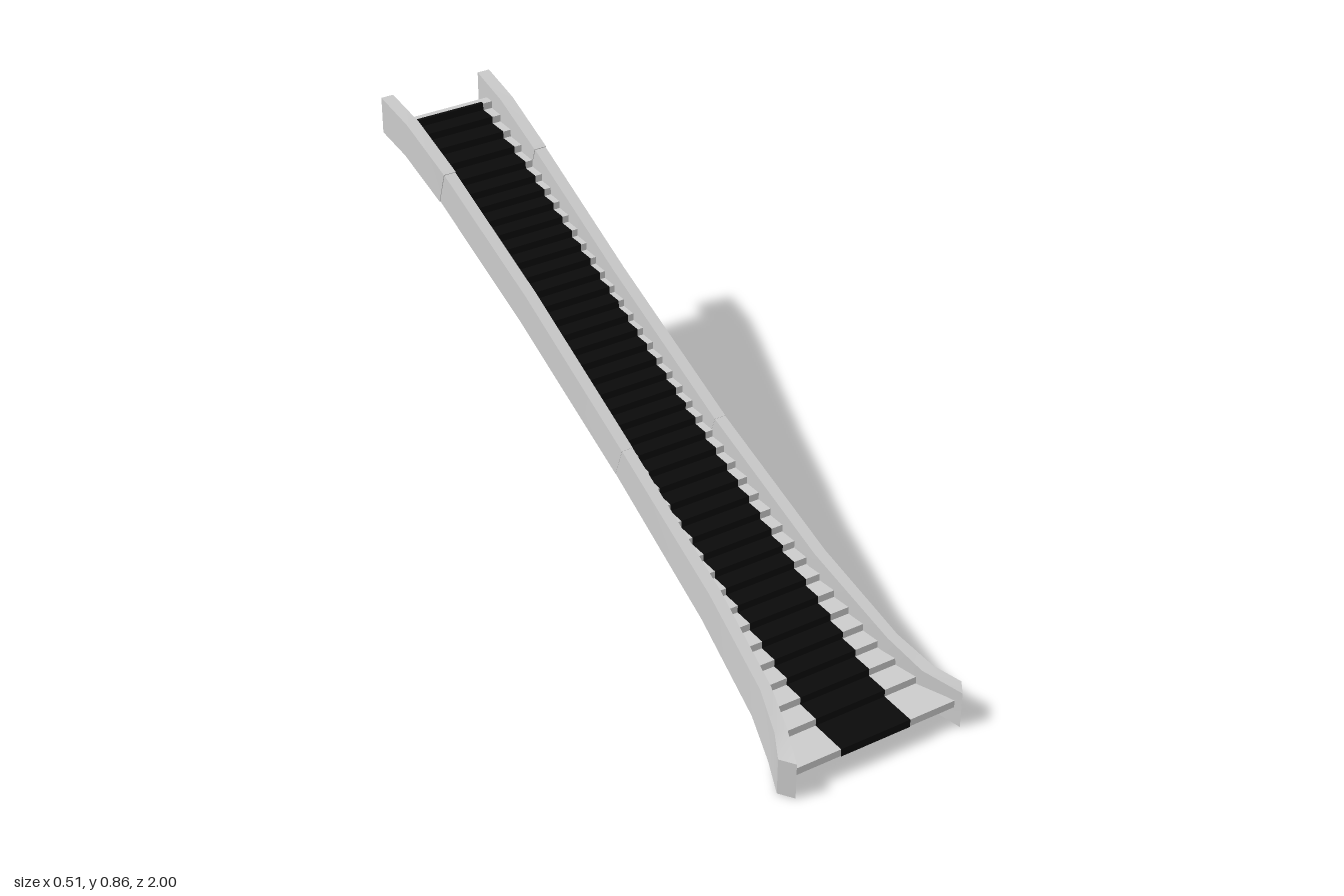
import * as THREE from 'three';
import { toCreasedNormals } from 'three/addons/utils/BufferGeometryUtils.js';

// Side wall stations: top z, top y, bottom z, bottom y, outer x, inner x
const STATIONS = [
  [0.98, 0.10, 0.98, 0.003, 0.253, 0.228],
  [0.90, 0.117, 0.88, 0.02, 0.22, 0.187],
  [0.80, 0.155, 0.77, 0.06, 0.19, 0.162],
  [0.55, 0.25, 0.52, 0.16, 0.162, 0.132],
  [0.15, 0.41, 0.12, 0.33, 0.146, 0.117],
  [-0.30, 0.605, -0.33, 0.52, 0.14, 0.111],
  [-0.69, 0.77, -0.72, 0.685, 0.147, 0.117],
  [-0.87, 0.835, -0.89, 0.745, 0.153, 0.122],
  [-1.00, 0.86, -1.00, 0.765, 0.157, 0.127],
];
// Line through the step nosings: z, y
const NOSING = [[0.98, 0.07], [0.89, 0.087], [0.8, 0.115], [0.55, 0.21], [0.15, 0.37],
  [-0.3, 0.565], [-0.69, 0.73], [-0.87, 0.79], [-0.95, 0.822]];
const STEPS = 40, RISE = 0.019, FIRST = 0.07, BACK = -0.95, CARPET = 0.095;

// Piecewise linear lookup in a table of [key, value] rows
function lookup(rows, k) {
  const up = rows[rows.length - 1][0] > rows[0][0];
  let i = 0;
  while (i < rows.length - 2 && (up ? k > rows[i + 1][0] : k < rows[i + 1][0])) i++;
  const [a, b] = [rows[i], rows[i + 1]];
  const t = THREE.MathUtils.clamp((k - a[0]) / (b[0] - a[0]), 0, 1);
  return a[1] + (b[1] - a[1]) * t;
}

// Solid through four-cornered rings running from front to back
function loft(rings, mirror = false) {
  const pos = [];
  const tri = (a, b, c) => {
    for (const p of mirror ? [a, c, b] : [a, b, c]) pos.push(mirror ? -p[0] : p[0], p[1], p[2]);
  };
  const quad = (a, b, c, d) => { tri(a, b, c); tri(a, c, d); };
  quad(...rings[0]);
  for (let i = 0; i < rings.length - 1; i++) {
    const a = rings[i], b = rings[i + 1];
    for (let j = 0; j < 4; j++) {
      const k = (j + 1) % 4;
      quad(a[j], b[j], b[k], a[k]);
    }
  }
  quad(...[...rings[rings.length - 1]].reverse());
  const g = new THREE.BufferGeometry();
  g.setAttribute('position', new THREE.Float32BufferAttribute(pos, 3));
  g.computeVertexNormals();
  return toCreasedNormals(g, 0.5);
}

export function createModel() {
  const model = new THREE.Group();
  model.name = 'staircase';
  const stone = new THREE.MeshStandardMaterial({ color: 0xcccccc });
  const black = new THREE.MeshStandardMaterial({ color: 0x0a0a0a });
  const add = (parent, name, geo, mat) => {
    const m = new THREE.Mesh(geo, mat);
    m.name = name;
    parent.add(m);
    return m;
  };

  // Flared side walls, each in three jointed lengths
  const ring = ([zt, yt, zb, yb, xo, xi], i, grow) => {
    const skew = i === 0 ? 0.018 : 0; // splayed front end
    return [[xo + grow, yt + grow, zt - skew], [xi - grow, yt + grow, zt + skew],
      [xi - grow, yb - grow, zb + skew], [xo + grow, yb - grow, zb - skew]];
  };
  const lengths = [['lower', 0, 4, 0], ['middle', 4, 6, 0.0005], ['upper', 6, 8, 0.002]];
  for (const mirror of [false, true]) {
    const wall = new THREE.Group();
    wall.name = mirror ? 'rightWall' : 'leftWall';
    for (const [name, from, to, grow] of lengths) {
      const rings = STATIONS.slice(from, to + 1).map((s, i) => ring(s, from + i, grow));
      add(wall, name + 'WallSection', loft(rings, mirror), stone);
    }
    model.add(wall);
  }

  // Steps tapered to meet the walls, with a carpet over treads and risers
  const steps = new THREE.Group(), carpet = new THREE.Group();
  steps.name = 'steps';
  carpet.name = 'carpet';
  const byHeight = NOSING.map(([z, y]) => [y, z]);
  const inner = STATIONS.map((s) => [s[0], s[5]]);
  const section = (z, y) => {
    const w = lookup(inner, z) + 0.004;
    return [[w, y, z], [-w, y, z], [-w, y - RISE, z], [w, y - RISE, z]];
  };
  for (let i = 0; i < STEPS; i++) {
    const y = FIRST + i * RISE, last = i === STEPS - 1;
    const front = lookup(byHeight, y);
    const back = last ? BACK : lookup(byHeight, y + RISE);
    add(steps, 'step', loft([section(front, y), section(back, y)]), stone);

    const riser = add(carpet, 'carpetRiser', new THREE.BoxGeometry(CARPET * 2, RISE + 0.002, 0.004), black);
    riser.position.set(0, y - RISE / 2 + 0.001, front);
    const depth = last ? 0.008 : front - back;
    const tread = add(carpet, 'carpetTread', new THREE.BoxGeometry(CARPET * 2, 0.004, depth), black);
    tread.position.set(0, y, front - depth / 2);
  }
  model.add(steps, carpet);
  return model;
}
